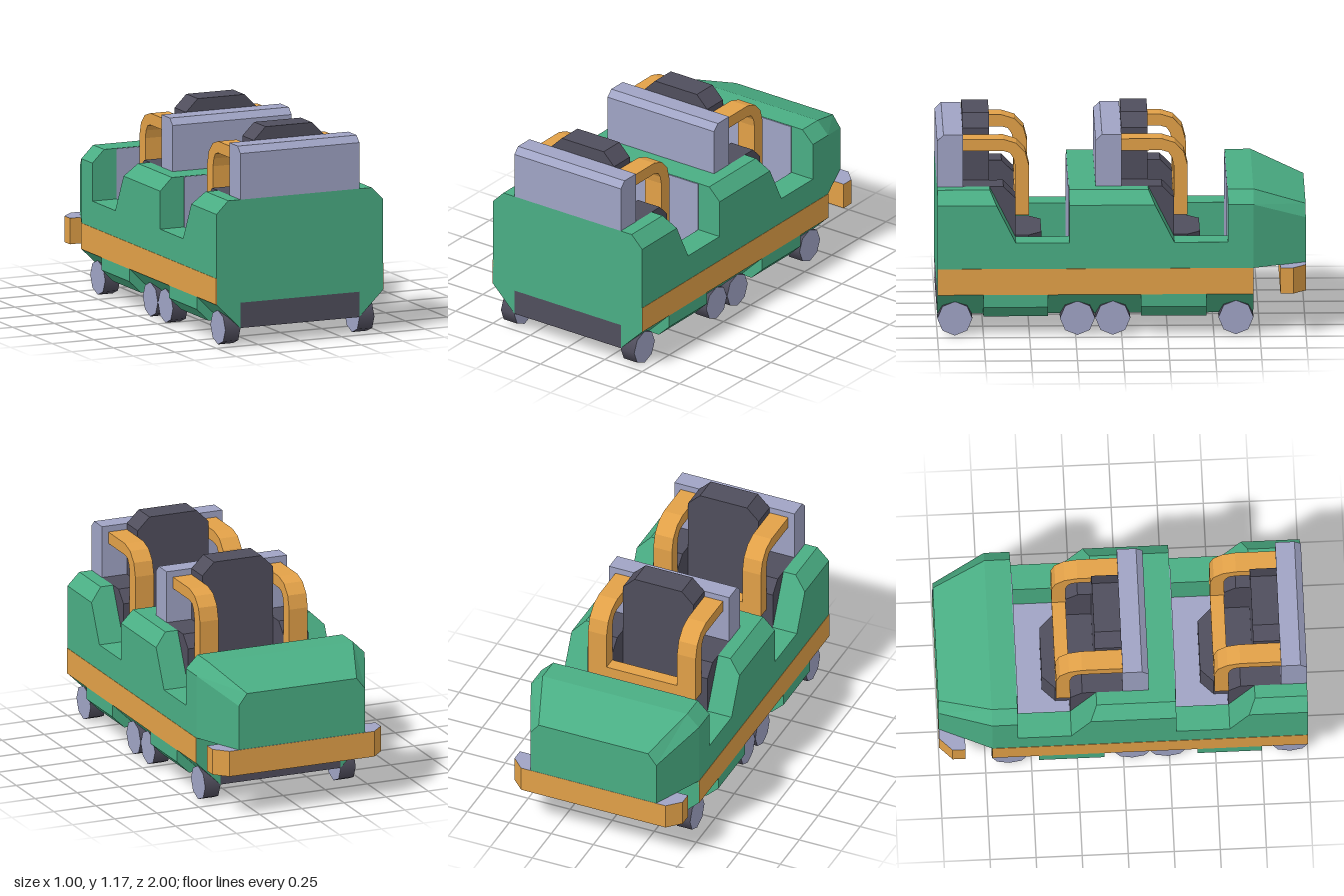
import * as THREE from 'three';

const mat = (name, color) => Object.assign(new THREE.MeshStandardMaterial({ color }), { name });

// Loft through rings of [x, y, z]; rings run counter-clockwise seen from +z and step towards -z
function loft(rings) {
  const v = [];
  const tri = (a, b, c) => v.push(...a, ...b, ...c);
  const n = rings[0].length;
  for (let i = 0; i < rings.length - 1; i++) {
    for (let j = 0; j < n; j++) {
      const k = (j + 1) % n, r = rings[i], s = rings[i + 1];
      tri(r[j], s[j], s[k]);
      tri(r[j], s[k], r[k]);
    }
  }
  const first = rings[0], last = rings[rings.length - 1];
  for (let j = 1; j < n - 1; j++) {
    tri(first[0], first[j], first[j + 1]);
    tri(last[0], last[j + 1], last[j]);
  }
  const g = new THREE.BufferGeometry();
  g.setAttribute('position', new THREE.Float32BufferAttribute(v, 3));
  g.computeVertexNormals();
  return g;
}

const extrude = (pts, depth) => new THREE.ExtrudeGeometry(
  new THREE.Shape(pts.map(p => new THREE.Vector2(...p))), { depth, bevelEnabled: false });
// Profile of [x, y] swept from z0 to z1
const alongZ = (pts, z0, z1) => extrude(pts, z1 - z0).translate(0, 0, z0);
// Profile of [z, y] swept from x0 to x1
const alongX = (pts, x0, x1) => extrude(pts, x1 - x0).rotateY(-Math.PI / 2).translate(x1, 0, 0);
// Plan of [x, -z] swept from y0 to y1
const alongY = (pts, y0, y1) => extrude(pts, y1 - y0).rotateX(-Math.PI / 2).translate(0, y0, 0);
const box = (x0, x1, y0, y1, z0, z1) => new THREE.BoxGeometry(x1 - x0, y1 - y0, z1 - z0)
  .translate((x0 + x1) / 2, (y0 + y1) / 2, (z0 + z1) / 2);

export function createModel() {
  const green = mat('green paint', 0x4aae84);
  const orange = mat('orange paint', 0xe2a148);
  const grey = mat('lavender grey', 0xa0a4c5);
  const dark = mat('dark padding', 0x504e5d);
  const car = new THREE.Group();
  car.name = 'coasterCar';

  const add = (parent, name, geo, m) => {
    const mesh = new THREE.Mesh(geo, m);
    mesh.name = name;
    parent.add(mesh);
    return mesh;
  };
  const pair = (parent, name, geo, m) => {
    add(parent, name + 'Left', geo, m);
    add(parent, name + 'Right', geo, m).scale.x = -1;
  };

  // Side walls: stations of [z, top height] with the door cut-outs, chamfered top edge
  const stations = [[1, 0.81], [0.715, 0.81], [0.68, 0.74], [0.575, 0.53], [0.285, 0.53], [0.285, 0.81],
    [-0.145, 0.81], [-0.18, 0.74], [-0.285, 0.53], [-0.575, 0.53], [-0.575, 0.81], [-0.715, 0.81]];
  pair(car, 'sideWall', loft(stations.map(([z, h]) => [
    [0.357, 0.24, z], [0.5, 0.24, z], [0.5, Math.min(h, 0.74), z],
    [0.5 - Math.max(0, h - 0.74), h, z], [0.357, h, z]])), green);

  // Solid blocks across the body, between and around the two seat wells
  [['tailBlock', 0.86, 1], ['middleBlock', 0, 0.285], ['hoodBlock', -0.715, -0.575]].forEach(([name, z0, z1]) =>
    add(car, name, box(-0.357, 0.357, 0.24, 0.81, z0, z1), green));

  // Tapered nose
  const noseRing = (w, low, shoulder, top, chamfer, z) => [
    [-w, low, z], [w, low, z], [w, shoulder, z], [w - chamfer, top, z], [chamfer - w, top, z], [-w, shoulder, z]];
  add(car, 'nose', loft([
    noseRing(0.5, 0.385, 0.74, 0.81, 0.07, -0.715),
    noseRing(0.375, 0.385, 0.635, 0.7, 0.05, -1)]), green);

  // Painted side stripes
  pair(car, 'stripe', box(0.498, 0.502, 0.24, 0.385, -0.715, 1), orange);

  // Chassis, sloping skirts and the skirt covers between the wheels
  add(car, 'chassis', box(-0.357, 0.357, 0.1, 0.24, -0.715, 1), dark);
  pair(car, 'skirt', alongZ([[0.357, 0.1], [0.5, 0.24], [0.357, 0.24]], -0.715, 1), green);
  [[0.4, 0.75], [-0.46, -0.105]].forEach(([z0, z1]) => pair(car, 'skirtCover',
    alongZ([[0.357, 0.102], [0.43, 0.102], [0.5, 0.17], [0.5, 0.24], [0.357, 0.24]], z0, z1), green));

  // Wheels
  for (const z of [0.905, 0.24, 0.048, -0.62]) {
    const geo = new THREE.CylinderGeometry(0.095, 0.095, 0.09, 8)
      .rotateZ(Math.PI / 2).translate(0.402, 0.095, z);
    pair(car, 'wheel', geo, [dark, grey, grey]);
  }

  // Wrap-round bumper under the nose
  add(car, 'bumper', alongY([[-0.5, 0.86], [0.5, 0.86], [0.5, 0.93], [0.43, 1], [-0.43, 1], [-0.5, 0.93]],
    0.24, 0.384), [grey, orange]);

  // Seats, each with its well lining and restraint; z = 0 is the face of the backrest
  for (const z of [0.86, 0]) {
    const seat = new THREE.Group();
    seat.name = z ? 'rearSeat' : 'frontSeat';
    seat.position.z = z;
    car.add(seat);

    add(seat, 'wellFloor', box(-0.357, 0.357, 0.24, 0.3, -0.575, 0), grey);
    add(seat, 'wellPanel', box(-0.357, 0.357, 0.3, 0.808, -0.575, -0.57), grey);
    add(seat, 'backrest', alongX([[0, 0.81], [0.14, 0.81], [0.14, 1.065], [0.105, 1.1], [0, 1.1]],
      -0.357, 0.357), grey);
    add(seat, 'backCushion', alongZ([[-0.21, 0.4], [0.21, 0.4], [0.21, 1.1], [0.14, 1.17],
      [-0.14, 1.17], [-0.21, 1.1]], -0.145, 0), dark);
    add(seat, 'seatCushion', alongY([[-0.21, 0], [0.21, 0], [0.21, 0.36], [0.14, 0.43],
      [-0.14, 0.43], [-0.21, 0.36]], 0.3, 0.5), dark);
    pair(seat, 'bolster', alongX([[0, 0.3], [0, 0.81], [-0.22, 0.81], [-0.285, 0.745], [-0.285, 0.3]],
      0.21, 0.357), dark);

    // Restraint: two bent arms joined by a lap bar
    pair(seat, 'restraintArm', alongX([[0, 1], [0, 1.065], [-0.22, 1.065], [-0.29, 1.043], [-0.34, 0.99],
      [-0.36, 0.915], [-0.36, 0.64], [-0.285, 0.64], [-0.285, 0.915], [-0.275, 0.96], [-0.255, 0.99],
      [-0.22, 1]], 0.21, 0.32), orange);
    add(seat, 'lapBar', box(-0.21, 0.21, 0.64, 0.705, -0.36, -0.285), orange);
  }
  return car;
}
